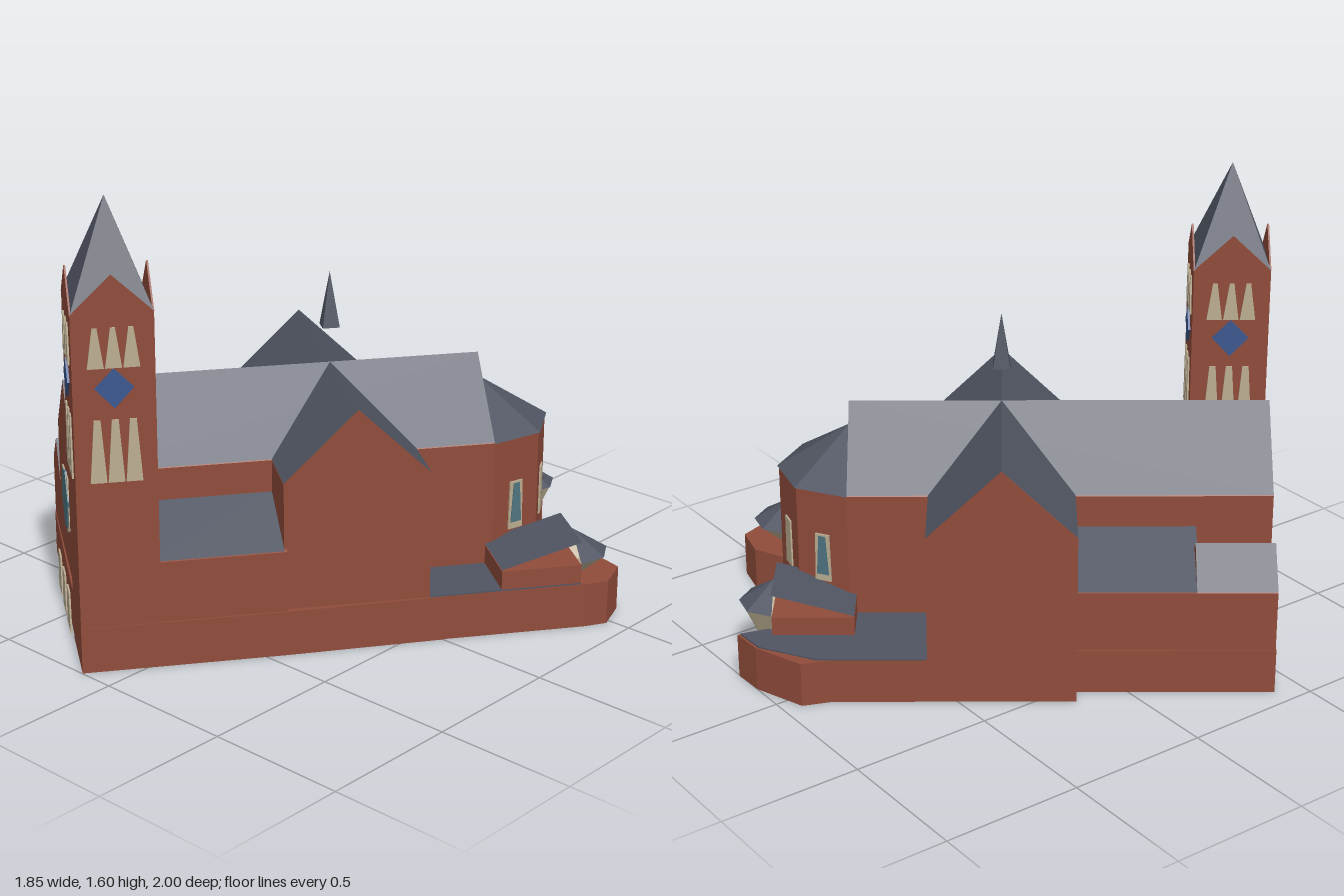
import * as THREE from 'three';

const mat = (name, color) => new THREE.MeshStandardMaterial({ name, color, flatShading: true, side: THREE.DoubleSide });

export function createModel() {
  const brick = mat('brick', 0x904c3b), slate = mat('slate', 0x505562), cream = mat('cream', 0xbcae92);
  const teal = mat('teal', 0x4f7582), blue = mat('blue', 0x3c5890);

  // The church stands at an angle: local x runs across it, local -z runs towards the apse.
  const model = new THREE.Group();
  model.name = 'church';
  const church = new THREE.Group();
  church.name = 'building';
  church.rotation.y = -0.631;
  model.add(church);

  const add = (name, geo, m, parent = church) => {
    const mesh = new THREE.Mesh(geo, m);
    mesh.name = name;
    parent.add(mesh);
    return mesh;
  };
  const extrude = (pts, depth) => new THREE.ExtrudeGeometry(
    new THREE.Shape(pts.map(p => new THREE.Vector2(p[0], p[1]))), { depth, bevelEnabled: false });
  // Profile (x, y) swept along the church axis from b0 to b1
  const sweep = (pts, b0, b1) => extrude(pts, b1 - b0).translate(0, 0, -b1);
  // Plan outline (a, b) raised from y0 to y1
  const raise = (pts, y0, y1) => extrude(pts, y1 - y0).rotateX(-Math.PI / 2).translate(0, y0, 0);
  // Flat sheet through four points [a, y, b]
  const sheet = (...p) => {
    const g = new THREE.BufferGeometry();
    g.setAttribute('position', new THREE.Float32BufferAttribute(p.flatMap(([a, y, b]) => [a, y, -b]), 3));
    g.setIndex([0, 1, 2, 0, 2, 3]);
    g.computeVertexNormals();
    return g;
  };

  // Gabled block: brick body with two slate slopes
  function gabled(name, a0, a1, b0, b1, eave, ridge, across = false) {
    const mid = (a0 + a1) / 2, e = 0.004;
    const body = sweep([[a0, 0], [a1, 0], [a1, eave], [mid, ridge], [a0, eave]], b0, b1);
    const slopes = [a0, a1].map(a => sheet([a, eave + e, b0], [a, eave + e, b1], [mid, ridge + e, b1], [mid, ridge + e, b0]));
    if (across) [body, ...slopes].forEach(g => g.rotateY(Math.PI / 2));
    add(name + 'Walls', body, brick);
    slopes.forEach(g => add(name + 'Roof', g, slate));
  }
  gabled('nave', -0.255, 0.245, -0.87, 0.575, 0.61, 0.852);
  // across the axis: first pair is the width along the church, second pair its reach (sign flipped)
  gabled('transept', -0.2, 0.3, -0.465, 0.575, 0.61, 0.852, true);
  gabled('leftPorchBay', -0.51, -0.25, -0.87, -0.6, 0.375, 0.493);

  // Side aisles with lean-to roofs
  for (const [name, wall, outer, b0] of [['leftAisle', -0.25, -0.51, -0.61], ['rightAisle', 0.24, 0.478, -0.64]]) {
    add(name + 'Walls', sweep([[wall, 0], [outer, 0], [outer, 0.375], [wall, 0.495]], b0, -0.19), brick);
    add(name + 'Roof', sheet([outer, 0.379, b0], [outer, 0.379, -0.2], [wall, 0.499, -0.2], [wall, 0.499, b0]), slate);
  }

  // Tower with windows on all four faces
  const tower = new THREE.Group(), h = 0.1335;
  tower.name = 'tower';
  tower.position.set(0.349, 0, 0.748);
  church.add(tower);
  add('towerWalls', new THREE.BoxGeometry(2 * h, 1.245, 2 * h).translate(0, 0.6225, 0), brick, tower);
  add('towerSpire', new THREE.ConeGeometry(h * Math.SQRT2, 0.35, 4).rotateY(Math.PI / 4).translate(0, 1.42, 0), slate, tower);
  // Tapered window plate
  const lancet = (x, y0, y1, w0, w1) =>
    extrude([[x - w0 / 2, y0], [x + w0 / 2, y0], [x + w1 / 2, y1], [x - w1 / 2, y1]], 0.006);
  for (let i = 0; i < 4; i++) {
    const face = new THREE.Group();
    face.name = 'towerFace';
    face.rotation.y = i * Math.PI / 2;
    tower.add(face);
    add('towerGable', extrude([[-h, 1.245], [h, 1.245], [0, 1.372]], 0.006).translate(0, 0, h - 0.005), brick, face);
    for (const x of [-0.058, 0, 0.058]) {
      add('lowerLancet', lancet(x, 0.675, 0.89, 0.054, 0.022), cream, face).position.z = h;
      add('upperLancet', lancet(x, 1.065, 1.2, 0.054, 0.016), cream, face).position.z = h;
    }
    add('diamondWindow', extrude([[-0.063, 0.998], [0, 0.93], [0.063, 0.998], [0, 1.063]], 0.008), blue, face).position.z = h;
  }

  // Facade: doors and round window
  for (const x of [-0.17, -0.02, 0.128]) add('door', lancet(x, 0, 0.145, 0.108, 0.07).translate(0, 0, 0.885), cream);
  const rose = [0, 1, 2, 3, 4, 5].map(i => [0.108 * Math.cos(i * Math.PI / 3 + 0.25), 0.425 + 0.115 * Math.sin(i * Math.PI / 3 + 0.25)]);
  add('roseFrame', extrude([[-0.1, 0.33], [0.03, 0.31], [0.115, 0.35], [0.08, 0.53], [-0.09, 0.515]], 0.005).translate(0, 0, 0.87), cream);
  add('roseWindow', extrude(rose, 0.008).translate(0, 0, 0.87), teal);

  // Half-octagonal apse
  const ring = [0, 1, 2, 3, 4].map(i => [-0.005 + 0.25 * Math.cos(i * Math.PI / 4), 0.575 + 0.25 * Math.sin(i * Math.PI / 4)]);
  add('apseWalls', raise(ring, 0, 0.61), brick);
  add('apseRoof', new THREE.ConeGeometry(0.256, 0.16, 4, 1, true, Math.PI / 2, Math.PI).translate(-0.005, 0.69, -0.575), slate);
  for (let i = 0; i < 4; i++) {
    const t = (i + 0.5) * Math.PI / 4, bay = new THREE.Group();
    bay.name = 'apseWindow';
    bay.position.set(-0.005 + 0.231 * Math.cos(t), 0, -0.575 - 0.231 * Math.sin(t));
    bay.rotation.y = t + Math.PI / 2;
    church.add(bay);
    add('apsePane', lancet(0, 0.275, 0.452, 0.06, 0.052), cream, bay);
    if (i === 0 || i === 3) add('apseGlass', lancet(0, 0.3, 0.445, 0.045, 0.025), teal, bay).position.z = 0.003;
  }

  // Low plinth under the whole building
  add('plinth', raise([[-0.515, -0.872], [0.486, -0.882], [0.486, -0.2], [0.474, 0.35], [-0.515, 0.3]], 0, 0.16), brick);

  // Low annexes beside the choir, with slate tops
  add('leftAnnex', raise([[-0.575, 0.28], [-0.16, 0.28], [-0.16, 0.83], [-0.36, 0.83], [-0.4, 0.95],
    [-0.49, 0.88], [-0.6, 0.72], [-0.575, 0.62]], 0, 0.16), brick);
  add('leftAnnexRoof', raise([[-0.575, 0.3], [-0.2, 0.3], [-0.2, 0.83], [-0.36, 0.83], [-0.4, 0.94],
    [-0.49, 0.87], [-0.575, 0.67]], 0.16, 0.165), slate);
  add('rightAnnex', raise([[0.154, 0.28], [0.472, 0.28], [0.47, 0.85], [0.46, 0.93], [0.356, 1.0], [0.234, 0.95], [0.154, 0.81]], 0, 0.16), brick);
  add('rightAnnexRoof', raise([[0.2, 0.3], [0.47, 0.3], [0.468, 0.83], [0.2, 0.83]], 0.16, 0.165), slate);

  // Small chapels: flat walls, a roof rising to the back, and a half-cone end on a tapering cream bowl
  for (const [name, a0, a1, foot] of [['leftChapel', -0.41, -0.165, 0], ['rightChapel', 0.21, 0.468, 0.13]]) {
    const mid = (a0 + a1) / 2, r = (a1 - a0) / 2, d = 0.235 - foot;
    add(name + 'Walls', raise([[a0, 0.55], [a1, 0.55], [a1, 0.83], [a0, 0.83]], 0.1, 0.232), brick);
    add(name + 'Roof', sheet([a0, 0.237, 0.55], [a1, 0.237, 0.55], [a1, 0.316, 0.83], [a0, 0.316, 0.83]), slate);
    add(name + 'EndRoof', new THREE.ConeGeometry(r, 0.08, 4, 1, true, Math.PI / 2, Math.PI).translate(mid, 0.275, -0.83), slate);
    add(name + 'Bowl', new THREE.CylinderGeometry(r * 0.97, 0.01, d, 4, 1, true, Math.PI / 2, Math.PI)
      .translate(mid, foot + d / 2, -0.83), cream);
  }

  // Spirelet above the crossing
  add('crossingSpirelet', new THREE.ConeGeometry(0.042, 0.195, 4).rotateY(Math.PI / 4).translate(-0.012, 1.083, -0.05), slate);

  return model;
}
